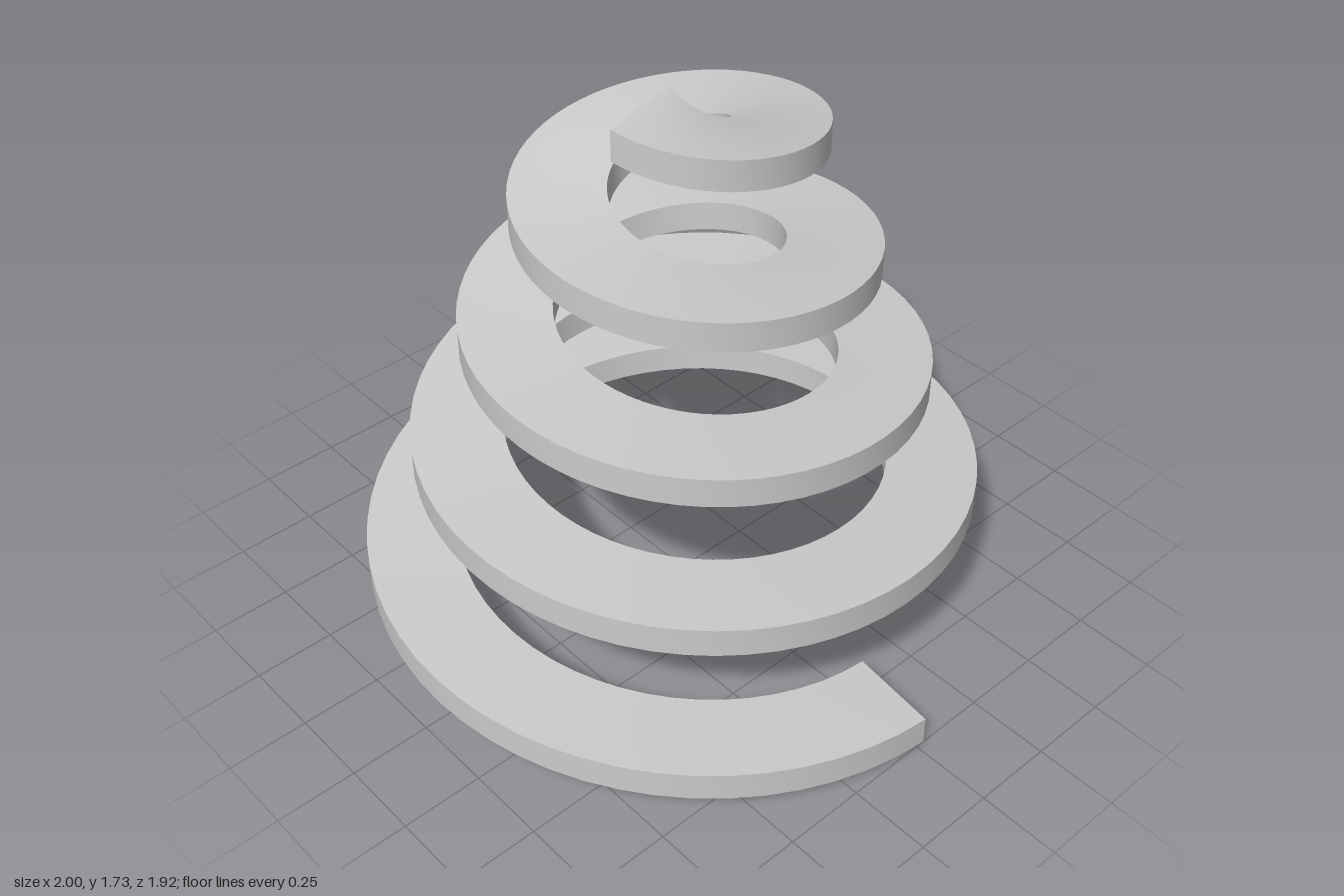
import * as THREE from 'three';

const TURNS = 4.207, STEPS = 264;
const CX = -0.041, CZ = -0.041;      // axis of the cone
const R0 = 1.041, SHRINK = 0.1652;   // outer radius at the base, loss per turn
const WIDTH = 0.275, THICK = 0.094, PITCH = 0.39;
const START = 0.002;                 // first turn fraction

// Four corners of the rectangular section at u = 0..1 along the spiral
function section(u) {
  const turn = START + (TURNS - START) * u;
  const r = R0 - SHRINK * turn;
  const y = PITCH * (turn - START);
  const a = turn * Math.PI * 2;
  const b = a - 0.035 - 0.017 * u;   // inner edge trails slightly
  const at = (rad, ang, h) => new THREE.Vector3(CX + rad * Math.cos(ang), h, CZ + rad * Math.sin(ang));
  return [at(r, a, y), at(r, a, y + THICK), at(r - WIDTH, b, y + THICK), at(r - WIDTH, b, y)];
}

export function createModel() {
  const group = new THREE.Group();
  group.name = 'conicalSpiral';
  const rings = Array.from({ length: STEPS + 1 }, (_, i) => section(i / STEPS));
  const pos = [], index = [];

  // Outer, top, inner and bottom bands, separate so their edges stay sharp
  for (let k = 0; k < 4; k++) {
    const base = pos.length / 3;
    rings.forEach((ring, i) => {
      pos.push(...ring[k].toArray(), ...ring[(k + 1) % 4].toArray());
      if (i === STEPS) return;
      const a = base + i * 2;
      index.push(a, a + 1, a + 3, a, a + 3, a + 2);
    });
  }

  // End caps
  for (const corners of [[...rings[0]].reverse(), rings[STEPS]]) {
    const base = pos.length / 3;
    corners.forEach((p) => pos.push(...p.toArray()));
    index.push(base, base + 1, base + 2, base, base + 2, base + 3);
  }

  const geometry = new THREE.BufferGeometry();
  geometry.setAttribute('position', new THREE.Float32BufferAttribute(pos, 3));
  geometry.setIndex(index);
  geometry.computeVertexNormals();

  const coil = new THREE.Mesh(geometry, new THREE.MeshStandardMaterial({ color: 0xcccccc }));
  coil.name = 'spiralRamp';
  group.add(coil);
  return group;
}
